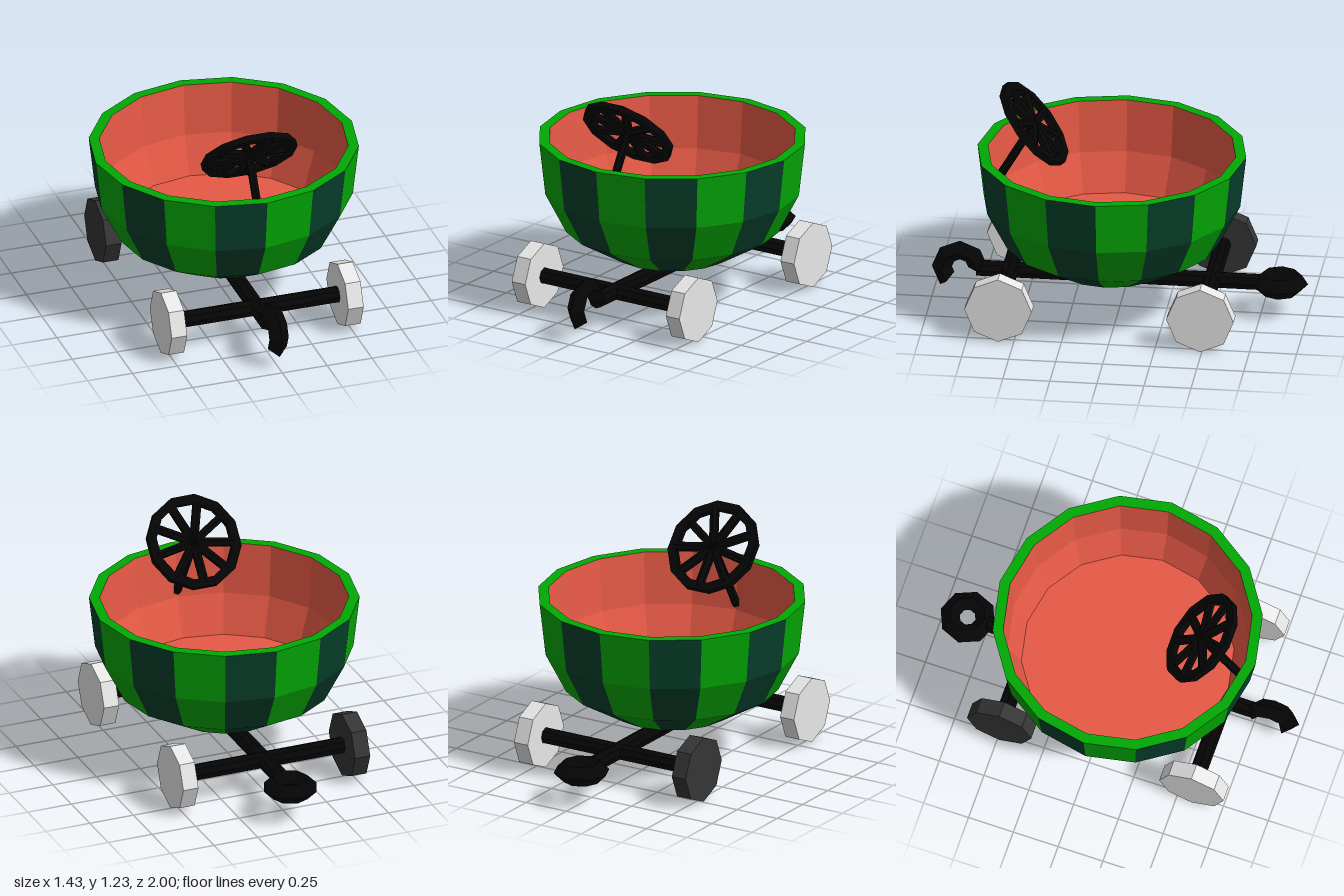
import * as THREE from 'three';
import { mergeGeometries } from 'three/addons/utils/BufferGeometryUtils.js';

const paint = (name, color) => {
  const m = new THREE.MeshStandardMaterial({ color, flatShading: true });
  m.name = name;
  return m;
};

export function createModel() {
  const model = new THREE.Group();
  model.name = 'melonCart';
  const green = paint('brightGreen', 0x02a804);
  const dark = paint('darkGreen', 0x063f2b);
  const red = paint('fleshRed', 0xe85a46);
  const black = paint('black', 0x050505);
  const grey = paint('lightGrey', 0xe7e7e7);
  const charcoal = paint('charcoal', 0x353535);

  const add = (name, geometry, material, parent = model) => {
    const mesh = new THREE.Mesh(geometry, material);
    mesh.name = name;
    parent.add(mesh);
    return mesh;
  };
  // Straight round bar between two points
  const rod = (name, from, to, radius, sides, material, parent = model) => {
    const a = new THREE.Vector3(...from), b = new THREE.Vector3(...to);
    const mesh = add(name, new THREE.CylinderGeometry(radius, radius, a.distanceTo(b), sides), material, parent);
    mesh.position.copy(a).add(b).multiplyScalar(0.5);
    mesh.quaternion.setFromUnitVectors(new THREE.Vector3(0, 1, 0), b.sub(a).normalize());
    return mesh;
  };
  const profile = (pts) => pts.map(([r, y]) => new THREE.Vector2(r, y));

  // Bowl: sixteen alternating rind stripes, rim and flesh
  const bowl = new THREE.Group();
  bowl.name = 'bowl';
  bowl.position.z = 0.043;
  model.add(bowl);
  const SIDES = 16, step = (Math.PI * 2) / SIDES;
  const rind = profile([[0, 0.19], [0.31, 0.243], [0.57, 0.393], [0.682, 0.61], [0.714, 0.895]]);
  const stripes = [[], []];
  for (let i = 0; i < SIDES; i++) {
    stripes[i % 2].push(new THREE.LatheGeometry(rind, 1, i * step, step));
  }
  add('brightStripes', mergeGeometries(stripes[0]), green, bowl);
  add('darkStripes', mergeGeometries(stripes[1]), dark, bowl);
  add('rim', new THREE.LatheGeometry(profile([[0.714, 0.895], [0.658, 0.895]]), SIDES), green, bowl);
  add('flesh', new THREE.LatheGeometry(
    profile([[0.658, 0.895], [0.635, 0.61], [0.562, 0.4], [0, 0.4]]), SIDES), red, bowl);

  // Axles and wheels; the rear right wheel is a dark odd one
  const Y = 0.18;
  for (const [place, z] of [['front', 0.583], ['rear', -0.49]]) {
    rod(place + 'Axle', [-0.47, Y, z], [0.47, Y, z], 0.045, 8, black);
    for (const [side, s] of [['Left', 1], ['Right', -1]]) {
      const color = place === 'rear' && s < 0 ? charcoal : grey;
      const wheel = add(place + side + 'Wheel', new THREE.CylinderGeometry(0.179, 0.179, 0.086, 8), color);
      wheel.rotation.z = Math.PI / 2;
      wheel.position.set(s * 0.492, Y, z);
    }
  }

  // Central shaft with a rear ring and a front hook, both diamond in section
  rod('shaft', [0, Y, -0.74], [0, Y, 0.76], 0.045, 8, black);
  const ring = add('rearRing', new THREE.TorusGeometry(0.0965, 0.0535, 4, 8), black);
  ring.rotation.x = Math.PI / 2;
  ring.position.set(0, Y, -0.85);

  const hook = new THREE.Group();
  hook.name = 'frontHook';
  hook.position.set(0, Y, 0.85);
  hook.rotation.y = Math.PI / 2;
  model.add(hook);
  const arc = Math.PI * 1.25;
  add('hookCurve', new THREE.TorusGeometry(0.0965, 0.0535, 4, 5, arc), black, hook);
  const tip = add('hookTip', new THREE.CircleGeometry(0.0535, 4).rotateX(-Math.PI / 2), black, hook);
  tip.rotation.z = arc;
  tip.position.set(0.0965 * Math.cos(arc), 0.0965 * Math.sin(arc), 0);

  // Steering wheel: tilted flat-sided band, nine spokes and a column down to the bowl wall
  const steering = new THREE.Group();
  steering.name = 'steeringWheel';
  steering.position.set(0, 1.03, 0.457);
  steering.rotation.x = 0.7;
  model.add(steering);
  const band = profile([[0.21, -0.018], [0.26, -0.018], [0.26, 0.018], [0.21, 0.018], [0.21, -0.018]]);
  add('steeringRim', new THREE.LatheGeometry(band, 12, Math.PI / 12).rotateX(Math.PI / 2), black, steering);
  for (let i = 0; i < 9; i++) {
    const a = -Math.PI / 2 + (i * Math.PI * 2) / 9;
    rod('spoke', [0, 0, 0], [0.225 * Math.cos(a), 0.225 * Math.sin(a), 0], 0.025, 6, black, steering);
  }
  rod('steeringColumn', [0, 1.03, 0.457], [0, 0.64, 0.685], 0.023, 6, black);

  return model;
}
